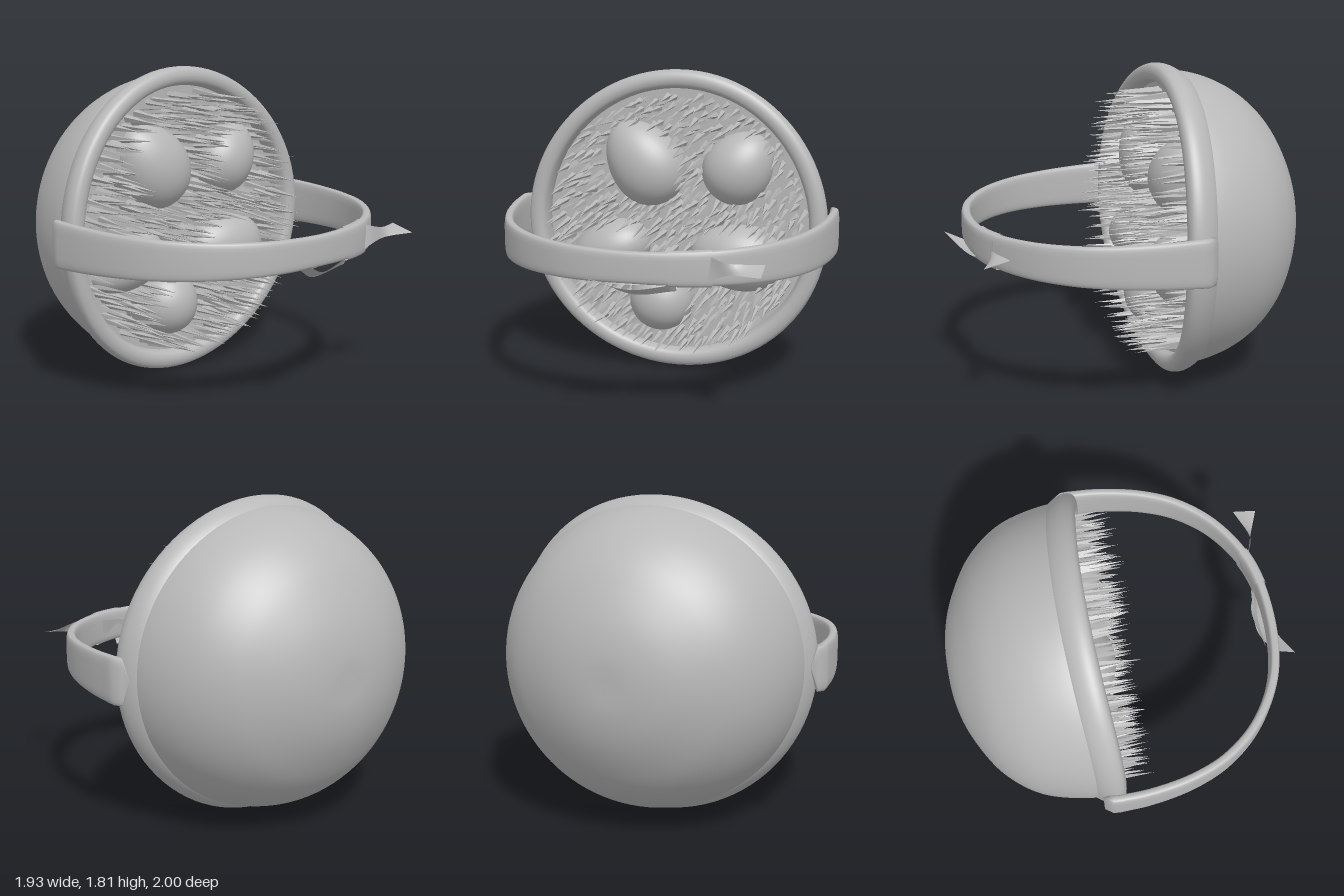
import * as THREE from 'three';
import { mergeGeometries } from 'three/addons/utils/BufferGeometryUtils.js';

const CY = 0.905; // height of the bowl axis
const V = (x, y, z) => new THREE.Vector3(x, y, z);

// Surface through a grid of points: rows of equal length, optionally closed around
function loft(rows, closed) {
  const n = rows[0].length, pos = [], idx = [];
  rows.forEach(row => row.forEach(p => pos.push(p.x, p.y, p.z)));
  for (let i = 0; i < rows.length - 1; i++) {
    for (let j = 0; j < (closed ? n : n - 1); j++) {
      const a = i * n + j, b = i * n + (j + 1) % n;
      idx.push(a, b, a + n, b, b + n, a + n);
    }
  }
  const g = new THREE.BufferGeometry();
  g.setAttribute('position', new THREE.Float32BufferAttribute(pos, 3));
  g.setIndex(idx);
  g.computeVertexNormals();
  return g;
}

// Lathe turned to face +z, its opening dipping at top and bottom like a saddle
function saddleLathe(profile) {
  const g = new THREE.LatheGeometry(profile, 96);
  g.rotateX(Math.PI / 2);
  const p = g.attributes.position;
  for (let i = 0; i < p.count; i++) {
    const x = p.getX(i), y = p.getY(i), z = p.getZ(i);
    const c = x * x / (x * x + y * y + 1e-9);
    const fade = THREE.MathUtils.smoothstep(z, -0.6, -0.3);
    p.setZ(i, z + 0.08 * c * fade);
  }
  g.translate(0, CY, 0);
  return g;
}

const spline2 = (pts, n, closed) => new THREE.CatmullRomCurve3(pts.map(([r, z]) => V(r, z, 0)), closed)
  .getPoints(n).map(p => new THREE.Vector2(Math.max(0, p.x), p.y));

export function createModel() {
  const group = new THREE.Group();
  const grey = new THREE.MeshStandardMaterial({ color: 0xb8b8b8, side: THREE.DoubleSide });
  grey.name = 'plain grey';
  const blade = new THREE.MeshStandardMaterial({ color: 0xb8b8b8, flatShading: true });
  blade.name = 'faceted grey';
  const add = (name, geo, mat = grey) => {
    const m = new THREE.Mesh(geo, mat);
    m.name = name;
    group.add(m);
    return m;
  };

  // Bowl and its rolled rim
  add('bowl', saddleLathe(spline2([[0, -1], [0.16, -0.995], [0.33, -0.955], [0.5, -0.875], [0.63, -0.785],
    [0.74, -0.66], [0.81, -0.53], [0.85, -0.4], [0.862, -0.3], [0.862, -0.25]], 48)));
  add('rim', saddleLathe(spline2([[0.865, -0.34], [0.897, -0.285], [0.904, -0.24], [0.89, -0.203], [0.85, -0.188],
    [0.812, -0.2], [0.795, -0.24], [0.795, -0.31], [0.82, -0.37]], 48, true)));

  // Bed that the grass grows from
  const bed = add('grassBed', new THREE.CircleGeometry(0.81, 64));
  bed.position.set(0, CY, -0.25);

  // Eggs: x, y, half length, half width, direction of the narrow end, taper
  const eggs = [
    [-0.21, 1.255, 0.275, 0.22, 2.25, 0.14], [0.365, 1.245, 0.23, 0.2, 0.9, 0.12],
    [-0.42, 0.715, 0.255, 0.165, 3.5, 0.1], [0.36, 0.7, 0.285, 0.2, 3.05, 0.1],
    [-0.105, 0.418, 0.195, 0.192, 1.5, 0.03],
  ];
  eggs.forEach(([x, y, a, b, angle, taper]) => {
    const g = new THREE.SphereGeometry(1, 40, 28);
    const p = g.attributes.position;
    for (let i = 0; i < p.count; i++) {
      const k = 1 - taper * p.getY(i);
      p.setXYZ(i, p.getX(i) * b * k, p.getY(i) * a, p.getZ(i) * 0.185 * k);
    }
    g.computeVertexNormals();
    const egg = add('egg', g);
    egg.position.set(x, y, -0.245);
    egg.rotation.z = angle - Math.PI / 2;
  });

  // Grass: slim pointed blades scattered between the eggs
  let seed = 7;
  const rand = () => (seed = (seed * 16807) % 2147483647) / 2147483647;
  const blades = [], placed = [];
  for (let tries = 0; tries < 9000 && blades.length < 430; tries++) {
    const r = 0.765 * Math.sqrt(rand()), t = rand() * Math.PI * 2;
    const x = r * Math.cos(t), y = CY + r * Math.sin(t);
    const inEgg = eggs.some(([ex, ey, a, b, ang]) => {
      const dx = x - ex, dy = y - ey, c = Math.cos(ang), s = Math.sin(ang);
      return ((dx * c + dy * s) / a) ** 2 + ((dy * c - dx * s) / b) ** 2 < 0.95;
    });
    if (inEgg || placed.some(q => Math.hypot(q[0] - x, q[1] - y) < 0.042)) continue;
    placed.push([x, y]);
    const h = 0.2 + 0.12 * rand();
    const g = new THREE.ConeGeometry(0.017 + 0.006 * rand(), h, 4, 1, true);
    g.translate(0, h / 2, 0);
    g.rotateY(rand() * 3);
    g.rotateX(Math.PI / 2 + (rand() - 0.5) * 0.14);
    g.rotateY((rand() - 0.5) * 0.14);
    g.translate(x, y, -0.25);
    blades.push(g);
  }
  add('grass', mergeGeometries(blades), blade);

  // Handle: a rounded strap swept from side to side, wider at its ends
  const half = [[0.885, -0.245], [0.93, -0.215], [0.936, -0.1], [0.925, 0.05], [0.88, 0.27], [0.79, 0.48],
    [0.62, 0.68], [0.35, 0.835]];
  const path = new THREE.CatmullRomCurve3([
    ...half.map(([x, z]) => V(x, CY, z)), V(0, CY, 0.885),
    ...half.slice().reverse().map(([x, z]) => V(-x, CY, z)),
  ]);
  const strap = (u0, u1, thick, extra, round) => {
    const rows = [], N = 90;
    for (let i = 0; i <= N; i++) {
      const u = u0 + (u1 - u0) * i / N, c = path.getPointAt(u), t = path.getTangentAt(u);
      const end = Math.min(i, N - i) / N;
      const k = round ? Math.sqrt(Math.max(0, 1 - (1 - Math.min(1, end / 0.025)) ** 2)) : 1;
      const wide = Math.abs(u - 0.5) * 2;
      const h = (0.085 + 0.052 * wide ** 1.3 + extra) * (round ? 0.85 + 0.15 * k : 1);
      const row = [];
      for (let j = 0; j < 24; j++) {
        const a = j / 24 * Math.PI * 2, ca = Math.cos(a), sa = Math.sin(a);
        const w = Math.sign(ca) * Math.abs(ca) ** 0.5 * thick * k;
        row.push(V(c.x - t.z * w, c.y + Math.sign(sa) * Math.abs(sa) ** 0.5 * h * (k > 0 ? 1 : 0), c.z + t.x * w));
      }
      rows.push(row);
    }
    return loft(rows, true);
  };
  add('handle', strap(0, 1, 0.028, 0, true));

  // Ribbon: band around the handle with loose tails
  add('ribbonBand', strap(0.375, 0.44, 0.034, 0.005, false));
  const ribbon = (name, top, bottom) => {
    const edges = [top, bottom].map(e => new THREE.CatmullRomCurve3(e.map(p => V(...p))).getPoints(20));
    const rows = edges[0].map((p, i) => [0, 0.25, 0.5, 0.75, 1].map(f => p.clone().lerp(edges[1][i], f)));
    add(name, loft(rows, false));
  };
  ribbon('ribbonTailLeft', [[0.4, 0.98, 0.83], [0.5, 0.955, 0.875], [0.7, 0.94, 0.81]],
    [[0.4, 0.84, 0.85], [0.52, 0.89, 0.88], [0.7, 0.905, 0.95]]);
  ribbon('ribbonTailRight', [[0.24, 0.82, 0.86], [0, 0.79, 0.91], [-0.215, 0.865, 1.0]],
    [[0.24, 0.78, 0.84], [0, 0.745, 0.83], [-0.17, 0.82, 0.89]]);
  ribbon('ribbonBackFold', [[0.38, 0.96, 0.78], [0.2, 0.93, 0.83], [0.07, 0.9, 0.795], [-0.15, 0.86, 0.84]],
    [[0.36, 0.84, 0.8], [0.2, 0.82, 0.85], [0.05, 0.8, 0.84], [-0.1, 0.8, 0.85]]);

  return group;
}
